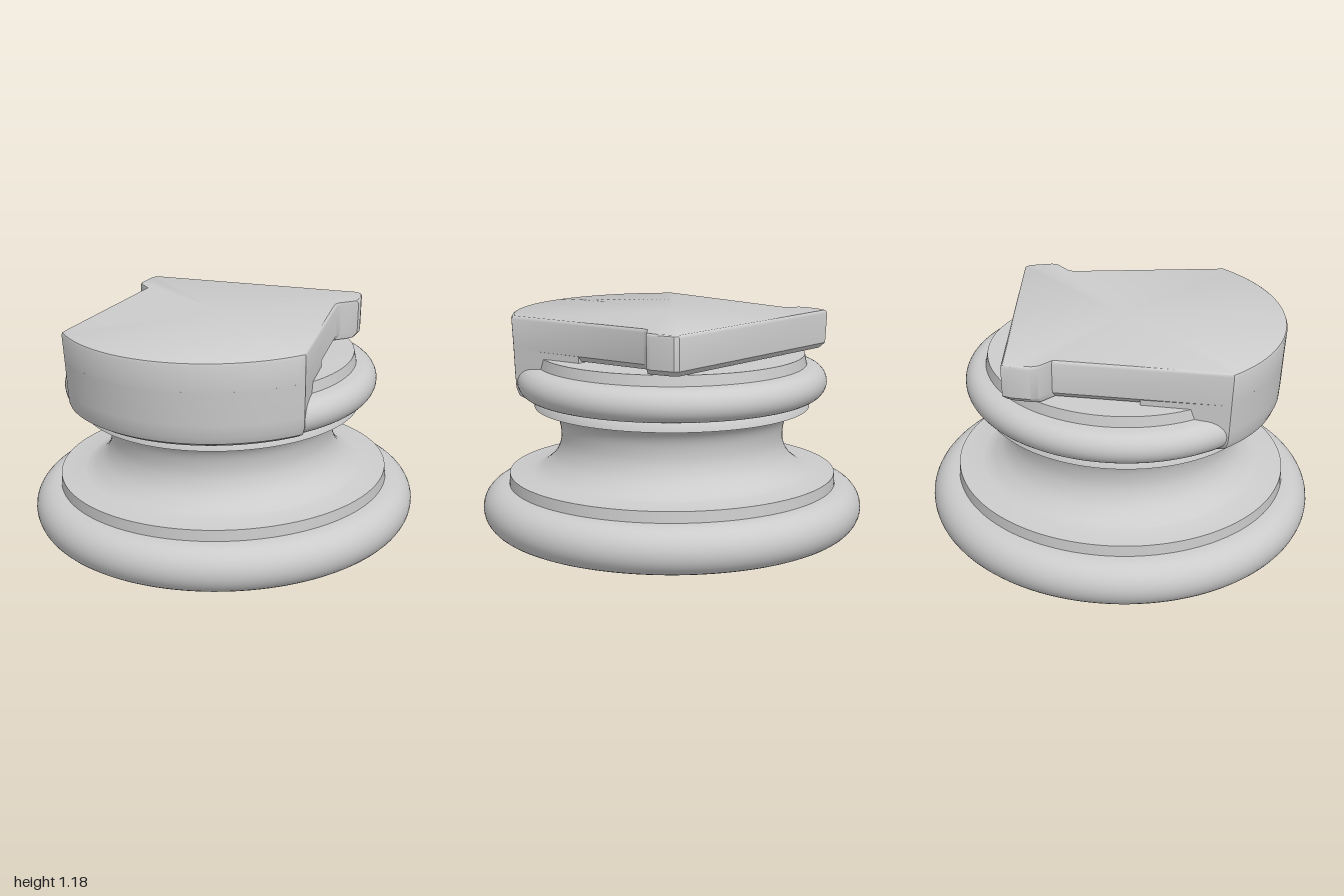
import * as THREE from 'three';
import { toCreasedNormals } from 'three/addons/utils/BufferGeometryUtils.js';

const material = new THREE.MeshStandardMaterial({ color: 0xcccccc });

function part(name, geometry, crease) {
  const mesh = new THREE.Mesh(toCreasedNormals(geometry, crease), material);
  mesh.name = name;
  return mesh;
}

// Stacks copies of a plan outline [x, z] at levels [y, scale] and caps both ends
function loft(outline, levels, [cx, cz]) {
  const n = outline.length;
  const pos = [];
  const at = (k, i) => {
    const [y, s] = levels[k];
    return [outline[i % n][0] * s, y, outline[i % n][1] * s];
  };
  const tri = (a, b, c) => pos.push(...a, ...b, ...c);
  const top = levels.length - 1;
  for (let i = 0; i < n; i++) {
    for (let k = 0; k < top; k++) {
      tri(at(k, i), at(k, i + 1), at(k + 1, i + 1));
      tri(at(k, i), at(k + 1, i + 1), at(k + 1, i));
    }
    tri([cx, levels[top][0], cz], at(top, i), at(top, i + 1));
    tri([cx, levels[0][0], cz], at(0, i + 1), at(0, i));
  }
  const geometry = new THREE.BufferGeometry();
  geometry.setAttribute('position', new THREE.Float32BufferAttribute(pos, 3));
  geometry.computeVertexNormals();
  return geometry;
}

// Half-round moulding bulging outwards between two heights
function roll(radius, y0, y1) {
  const h = (y1 - y0) / 2;
  return Array.from({ length: 19 }, (_, i) => {
    const a = -Math.PI / 2 + (Math.PI * i) / 18;
    return new THREE.Vector2(radius - h + Math.cos(a) * h, y0 + h + Math.sin(a) * h);
  });
}

export function createModel() {
  const model = new THREE.Group();
  model.name = 'columnBase';
  const v = (x, y) => new THREE.Vector2(x, y);

  // Turned body: lower roll, fillet, hollow neck, fillet, upper roll, top band
  const hollow = new THREE.SplineCurve([
    v(0.73, 0.312), v(0.68, 0.335), v(0.62, 0.39), v(0.588, 0.46),
    v(0.585, 0.53), v(0.6, 0.59), v(0.635, 0.632), v(0.69, 0.648),
  ]).getPoints(24);
  const profile = [
    v(0, 0), ...roll(1.0, 0, 0.245),
    v(0.862, 0.246), v(0.858, 0.303), ...hollow,
    v(0.722, 0.655), v(0.712, 0.69), v(0.70, 0.704), ...roll(0.81, 0.705, 0.872),
    v(0.705, 0.876), v(0.695, 0.93), v(0, 0.935),
  ];
  model.add(part('turnedBody', new THREE.LatheGeometry(profile, 128), 0.6));

  // Uncut round stretch shared by the block and the drum below it
  const arc = Array.from({ length: 41 }, (_, i) => {
    const a = -1.6 + (1.735 * i) / 40;
    return [0.832 * Math.sin(a), 0.832 * Math.cos(a)];
  });

  // Top block: square-cut sides with two projecting corners
  const block = [
    [-0.06, -0.82], [-0.1, -0.8], [-0.175, -0.735], [-0.19, -0.7], [-0.185, -0.61],
    ...arc,
    [0.6, 0.15], [0.63, 0.135], [0.73, 0.14], [0.755, 0.12], [0.815, 0.01], [0.81, -0.015],
  ];
  model.add(part('topBlock', loft(block,
    [[0.938, 0.95], [0.965, 0.99], [1.12, 1], [1.132, 0.994], [1.138, 0.982]], [0, 0]), 0.6));

  // Unfinished drum quarter wrapping the upper roll
  const drum = [[-0.5, -0.318], ...arc, [0.36, 0.48]];
  model.add(part('uncutDrum', loft(drum,
    [[0.695, 0.87], [0.702, 0.92], [0.722, 0.96], [0.76, 0.978], [0.82, 0.983], [0.99, 0.9917]],
    [-0.25, 0.25]), 0.6));

  // The whole piece leans slightly
  model.rotation.z = 0.026;
  model.position.set(0.003, 0.025, 0);
  const root = new THREE.Group();
  root.add(model);
  return root;
}
